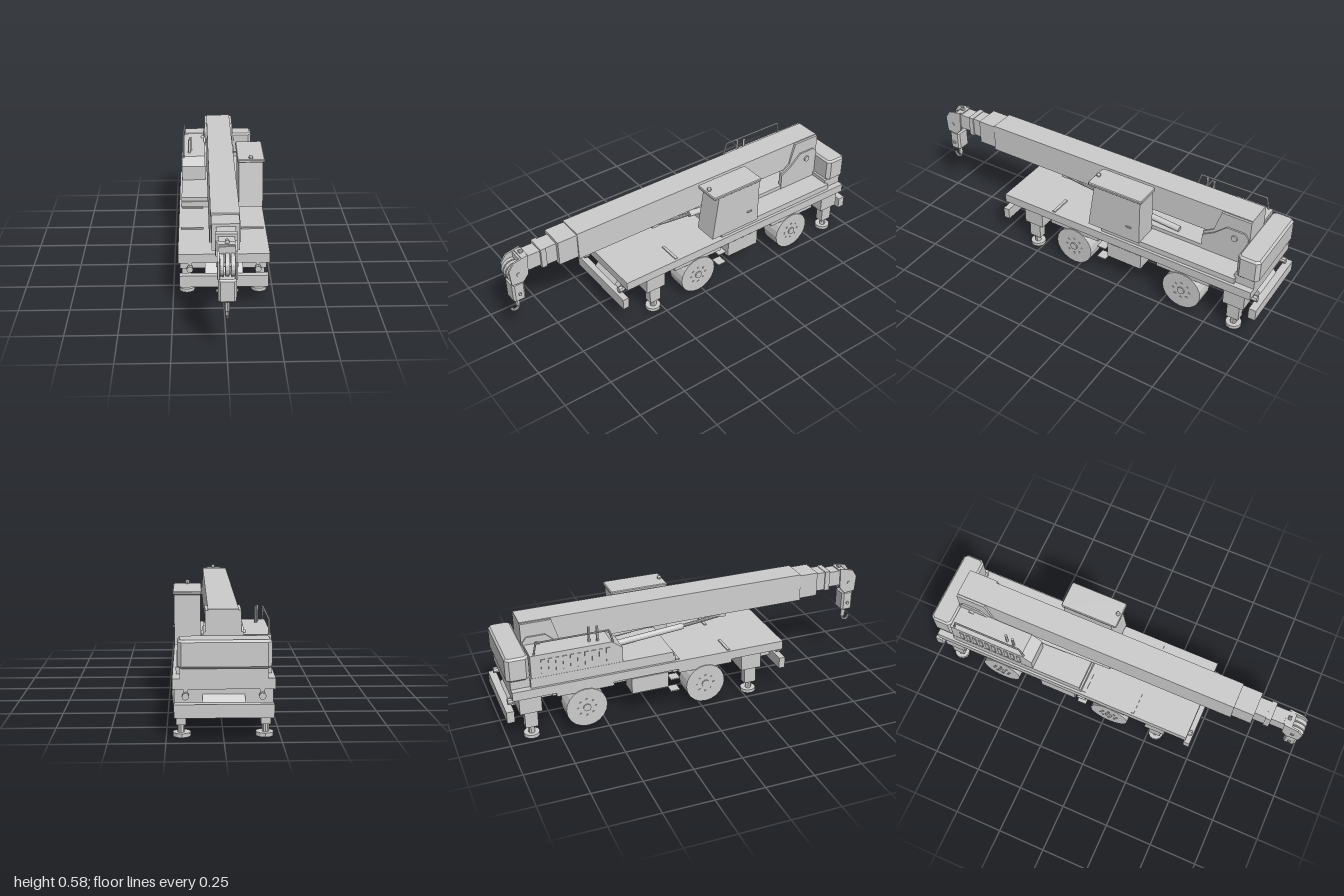
import * as THREE from 'three';

export function createModel() {
  const root = new THREE.Group();
  const mat = new THREE.MeshStandardMaterial({ color: 0xcccccc, flatShading: true });

  const add = (name, geo, parent = root) => {
    const m = new THREE.Mesh(geo, mat);
    m.name = name;
    parent.add(m);
    return m;
  };
  const shape = pts => new THREE.Shape(pts.map(p => new THREE.Vector2(...p)));
  // box given by its limits
  const box = (name, x0, x1, y0, y1, z0, z1) => {
    const m = add(name, new THREE.BoxGeometry(x1 - x0, y1 - y0, z1 - z0));
    m.position.set((x0 + x1) / 2, (y0 + y1) / 2, (z0 + z1) / 2);
  };
  // the same on side s (-1 right, 1 left)
  const mbox = (name, s, x0, x1, ...rest) => box(name, Math.min(s * x0, s * x1), Math.max(s * x0, s * x1), ...rest);
  // side profile of [z, y] points, extruded from x0 to x1
  const side = (name, pts, x0, x1) => {
    const m = add(name, new THREE.ExtrudeGeometry(shape(pts), { depth: x1 - x0, bevelEnabled: false }));
    m.rotation.y = -Math.PI / 2;
    m.position.x = x1;
  };
  // block with cut corners (c) in plan and bevelled edges (b)
  const block = (name, x0, x1, y0, y1, z0, z1, c, b) => {
    const s = shape([[x0 + c, -z1], [x1 - c, -z1], [x1, -z1 + c], [x1, -z0 - c], [x1 - c, -z0],
      [x0 + c, -z0], [x0, -z0 - c], [x0, -z1 + c]]);
    const m = add(name, new THREE.ExtrudeGeometry(s, {
      depth: y1 - y0 - 2 * b, bevelThickness: b, bevelSize: b, bevelOffset: -b, bevelSegments: 1 }));
    m.rotation.x = -Math.PI / 2;
    m.position.y = y0 + b;
  };
  // cylinder between two points
  const rod = (name, a, b, r, seg = 10, parent = root) => {
    const A = new THREE.Vector3(...a), B = new THREE.Vector3(...b), d = B.clone().sub(A);
    const m = add(name, new THREE.CylinderGeometry(r, r, d.length(), seg), parent);
    m.position.copy(A).add(B).multiplyScalar(0.5);
    m.quaternion.setFromUnitVectors(new THREE.Vector3(0, 1, 0), d.normalize());
  };
  const SIDES = [-1, 1];

  // carrier chassis and deck
  box('deck', -0.222, 0.222, 0.228, 0.275, -0.965, 0.465);
  box('chassisFrame', -0.12, 0.12, 0.158, 0.23, -0.87, 0.35);
  side('frontRamp', [[0.34, 0.23], [0.34, 0.158], [0.4, 0.13], [0.46, 0.13], [0.46, 0.17], [0.405, 0.23]], -0.092, 0.092);
  side('rearRamp', [[-0.86, 0.23], [-0.905, 0.23], [-0.965, 0.17], [-0.965, 0.13], [-0.9, 0.13], [-0.86, 0.158]], -0.092, 0.092);
  for (const s of SIDES) {
    mbox('lampBracket', s, 0.155, 0.175, 0.19, 0.23, 0.45, 0.462);
    mbox('lampBracket', s, 0.155, 0.175, 0.19, 0.23, -0.962, -0.95);
    rod('headlight', [s * 0.165, 0.2, 0.455], [s * 0.165, 0.2, 0.482], 0.016, 8);
    rod('tailLight', [s * 0.165, 0.2, -0.955], [s * 0.165, 0.2, -0.982], 0.016, 8);
    mbox('deckRib', s, 0.095, 0.21, 0.27, 0.281, 0.153, 0.168);
    for (const z of [0.03, -0.603]) {
      mbox('fender', s, 0.115, 0.217, 0.205, 0.23, z - 0.145, z + 0.145);
      mbox('fenderInner', s, 0.1, 0.125, 0.158, 0.23, z - 0.145, z + 0.145);
    }
    mbox('toolbox', s, 0.115, 0.215, 0.135, 0.22, -0.365, -0.17);
    mbox('step', s, 0.16, 0.215, 0.1, 0.106, -0.157, -0.108);
    mbox('step', s, 0.16, 0.215, 0.168, 0.174, -0.157, -0.108);
  }
  box('frontBumper', -0.215, 0.215, 0.11, 0.17, 0.455, 0.488);
  box('rearBumper', -0.215, 0.215, 0.11, 0.17, -1, -0.962);
  box('deckSlot', -0.205, -0.095, 0.27, 0.28, -0.125, -0.108);

  // axles and wheels
  for (const z of [0.03, -0.603]) {
    rod('axle', [-0.14, 0.115, z], [0.14, 0.115, z], 0.02, 10);
    rod('axleSleeve', [-0.052, 0.115, z], [0.052, 0.115, z], 0.024, 10);
    for (const s of SIDES) {
      const w = new THREE.Group();
      w.name = 'wheel';
      w.position.set(s * 0.12, 0.115, z);
      root.add(w);
      rod('tyre', [0, 0, 0], [s * 0.102, 0, 0], 0.105, 20, w);
      rod('hub', [s * 0.1, 0, 0], [s * 0.108, 0, 0], 0.02, 10, w);
      for (let i = 0; i < 8; i++) {
        const a = i * Math.PI / 4, y = 0.045 * Math.sin(a), q = 0.045 * Math.cos(a);
        rod('wheelNut', [s * 0.1, y, q], [s * 0.105, y, q], 0.006, 6, w);
      }
    }
  }

  // outriggers
  for (const z of [0.29, -0.88]) {
    box('outriggerBeam', -0.214, 0.214, 0.142, 0.23, z - 0.055, z + 0.055);
    for (const s of SIDES) {
      mbox('outriggerLeg', s, 0.163, 0.207, 0.057, 0.15, z - 0.032, z + 0.032);
      rod('outriggerRod', [s * 0.185, 0.01, z], [s * 0.185, 0.07, z], 0.016, 10);
      rod('outriggerPad', [s * 0.182, 0, z], [s * 0.182, 0.018, z], 0.04, 12);
    }
  }

  // slewing platform
  box('platform', -0.21, 0.207, 0.27, 0.305, -0.87, -0.13);
  box('platformTop', -0.21, 0.085, 0.3, 0.326, -0.87, -0.14);

  // engine housing with vents, handrail and exhaust
  side('engineHousing', [[-0.405, 0.32], [-0.405, 0.405], [-0.46, 0.446], [-0.865, 0.446], [-0.865, 0.32]], -0.209, -0.08);
  for (let i = 0; i < 10; i++) {
    const z = -0.47 - i * 0.036;
    box('vent', -0.213, -0.205, 0.348, 0.42, z - 0.02, z);
  }
  const rail = [[-0.45, 0.44], [-0.47, 0.508], [-0.83, 0.508], [-0.845, 0.44]];
  for (let i = 0; i < 3; i++)
    rod('handrail', [-0.2, rail[i][1], rail[i][0]], [-0.2, rail[i + 1][1], rail[i + 1][0]], 0.005, 6);
  rod('exhaust', [-0.169, 0.44, -0.52], [-0.169, 0.524, -0.52], 0.007, 10);
  rod('exhaust', [-0.161, 0.44, -0.56], [-0.161, 0.524, -0.56], 0.007, 10);

  // counterweight
  block('counterweight', -0.205, 0.2, 0.32, 0.445, -0.984, -0.868, 0.018, 0.01);
  box('counterweightBase', -0.19, 0.19, 0.27, 0.325, -0.965, -0.86);

  // operator cab
  side('cab', [[-0.06, 0.302], [-0.095, 0.552], [-0.355, 0.552], [-0.355, 0.302]], 0.093, 0.22);
  block('cabRoof', 0.084, 0.228, 0.548, 0.565, -0.365, -0.06, 0.008, 0.004);
  add('beacon', new THREE.SphereGeometry(0.012, 8, 6)).position.set(0.155, 0.573, -0.08);
  box('doorHandle', 0.218, 0.226, 0.378, 0.385, -0.31, -0.28);

  // boom support: tall inner plates, lower outer plates, pivot and winch
  for (const s of SIDES) {
    const plate = (name, pts, x0, x1) => side(name, pts, Math.min(s * x0, s * x1), Math.max(s * x0, s * x1));
    plate('boomBracket', [[-0.63, 0.3], [-0.63, 0.405], [-0.685, 0.44], [-0.72, 0.555], [-0.875, 0.555],
      [-0.875, 0.3]], 0.066, 0.079);
    plate('outerBracket', [[-0.63, 0.3], [-0.63, 0.39], [-0.69, 0.425], [-0.755, 0.485], [-0.85, 0.485],
      [-0.87, 0.46], [-0.87, 0.3]], 0.076, 0.087);
  }
  rod('boomPivot', [-0.1, 0.44, -0.8], [0.095, 0.44, -0.8], 0.016, 12);
  rod('winch', [-0.07, 0.375, -0.72], [0.07, 0.375, -0.72], 0.035, 14);

  // telescopic boom: half width at top and bottom, bottom, top, rear z, front z
  const sections = [
    [0.067, 0.073, 0.415, 0.56, -0.875, 0.635],
    [0.063, 0.064, 0.422, 0.552, 0.6, 0.738],
    [0.044, 0.044, 0.437, 0.538, 0.72, 0.823],
    [0.049, 0.049, 0.433, 0.541, 0.795, 0.823],
    [0.037, 0.037, 0.445, 0.529, 0.8, 0.93],
  ];
  for (const [wt, wb, y0, y1, z0, z1] of sections)
    add('boomSection', new THREE.ExtrudeGeometry(shape([[-wb, y0], [wb, y0], [wt, y1], [-wt, y1]]),
      { depth: z1 - z0, bevelEnabled: false })).position.z = z0;

  // luffing cylinders
  for (const x of [-0.052, 0.052]) {
    rod('luffCylinder', [x, 0.337, -0.49], [x, 0.376, -0.03], 0.016, 12);
    rod('luffRod', [x, 0.375, -0.05], [x, 0.403, 0.2], 0.009, 10);
    box('luffLug', x - 0.012, x + 0.012, 0.395, 0.42, 0.17, 0.205);
  }

  // boom head with sheaves
  const head = [[0.89, 0.54], [0.965, 0.525], [0.992, 0.485], [0.985, 0.4], [0.925, 0.395], [0.895, 0.43]];
  for (const x of [-0.044, 0.035]) side('headPlate', head, x, x + 0.009);
  box('headTop', -0.036, 0.036, 0.5, 0.535, 0.885, 0.92);
  for (const x of [-0.024, 0, 0.024])
    rod('sheave', [x - 0.009, 0.452, 0.947], [x + 0.009, 0.452, 0.947], 0.05, 16);
  rod('sheavePin', [-0.048, 0.452, 0.947], [0.048, 0.452, 0.947], 0.01, 8);
  rod('headLamp', [0, 0.542, 0.895], [0, 0.542, 0.912], 0.01, 10);

  // hook block and hook
  block('hookBlock', -0.04, 0.04, 0.285, 0.396, 0.918, 0.983, 0.01, 0.008);
  rod('blockPin', [-0.048, 0.33, 0.95], [0.048, 0.33, 0.95], 0.008, 8);
  for (const x of [-0.02, 0.02]) rod('hoistRope', [x, 0.39, 0.95], [x, 0.45, 0.95], 0.003, 6);
  rod('hookShank', [0, 0.235, 0.952], [0, 0.29, 0.952], 0.012, 10);
  const hook = new THREE.CatmullRomCurve3([[0.952, 0.25], [0.948, 0.225], [0.96, 0.21], [0.978, 0.212], [0.99, 0.235]]
    .map(p => new THREE.Vector3(0, p[1], p[0])));
  add('hook', new THREE.TubeGeometry(hook, 14, 0.007, 8));
  return root;
}
